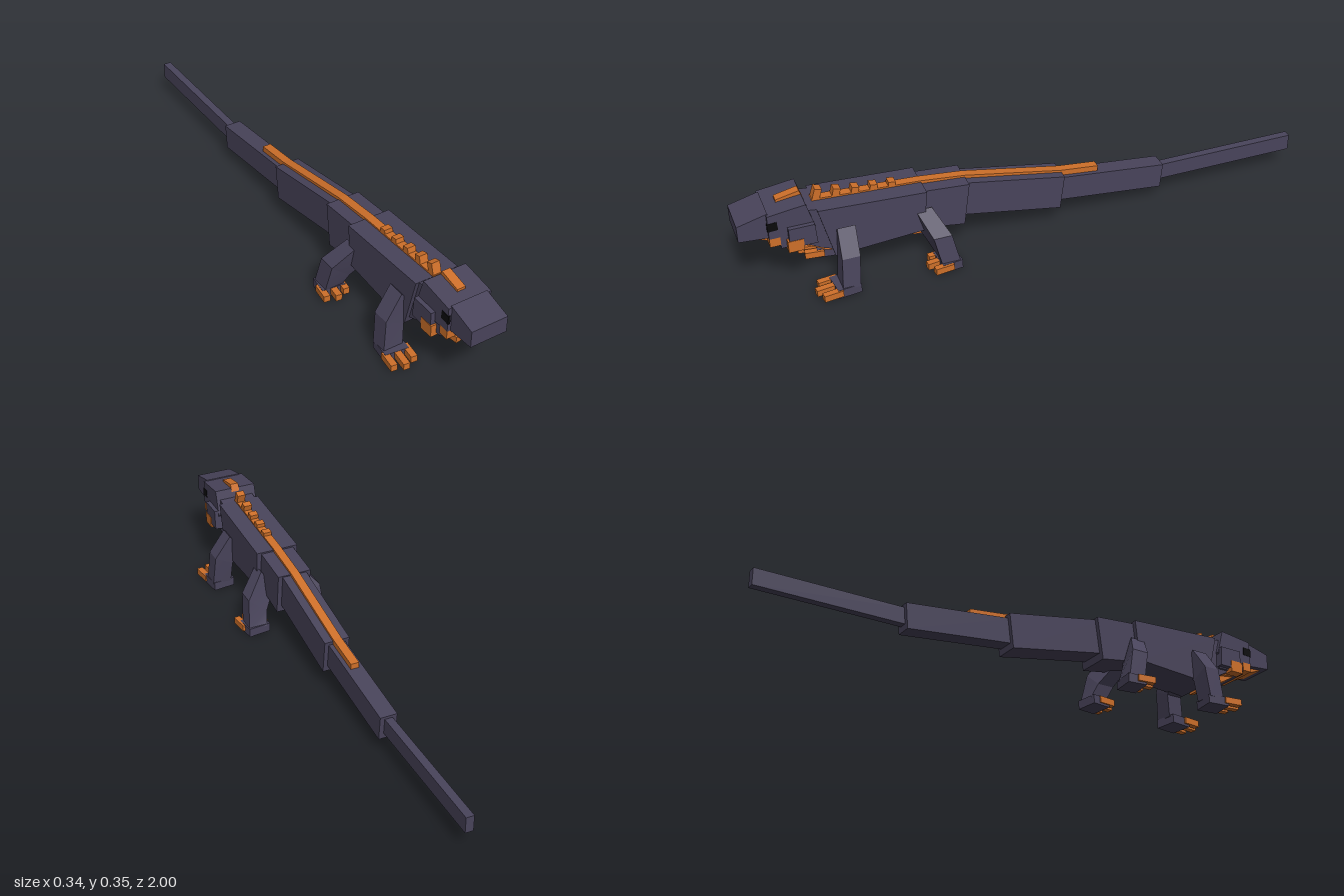
import * as THREE from 'three';

const mat = (name, color) => {
  const m = new THREE.MeshStandardMaterial({ color });
  m.name = name;
  return m;
};

export function createModel() {
  const model = new THREE.Group();
  model.name = 'lizard';
  const skin = mat('dark skin', 0x49445b);
  const orange = mat('orange markings', 0xcf702a);
  const black = mat('eye black', 0x0b0b0c);

  const add = (name, geometry, material, parent = model) => {
    const mesh = new THREE.Mesh(geometry, material);
    mesh.name = name;
    parent.add(mesh);
    return mesh;
  };

  // Side profile of [z, y] points, given a width across x
  const slab = (name, material, half, points, x = 0) => {
    const shape = new THREE.Shape(points.map(([z, y]) => new THREE.Vector2(z, y)));
    const g = new THREE.ExtrudeGeometry(shape, { depth: half * 2, bevelEnabled: false });
    g.translate(0, 0, -half).rotateY(-Math.PI / 2).translate(x, 0, 0);
    return add(name, g, material);
  };

  const box = (name, material, [x0, x1], [y0, y1], [z0, z1], parent) => {
    const mesh = add(name, new THREE.BoxGeometry(x1 - x0, y1 - y0, z1 - z0), material, parent);
    mesh.position.set((x0 + x1) / 2, (y0 + y1) / 2, (z0 + z1) / 2);
    return mesh;
  };

  // Body and tail
  slab('neck', skin, 0.064, [[0.81, 0.31], [0.70, 0.295], [0.69, 0.13], [0.74, 0.15], [0.81, 0.19]]);
  slab('chest', skin, 0.077, [[0.745, 0.302], [0.385, 0.282], [0.40, 0.135], [0.70, 0.115]]);
  slab('hips', skin, 0.061, [[0.42, 0.279], [0.235, 0.264], [0.255, 0.11], [0.42, 0.137]]);
  slab('tailBase', skin, 0.045, [[0.27, 0.266], [-0.11, 0.196], [-0.095, 0.073], [0.27, 0.14]]);
  slab('tailMiddle', skin, 0.03, [[-0.09, 0.186], [-0.488, 0.142], [-0.48, 0.053], [-0.08, 0.097]]);
  slab('tailTip', skin, 0.014, [[-0.46, 0.132], [-1, 0.132], [-1, 0.074], [-0.46, 0.074]]);

  // Head
  slab('skull', skin, 0.077, [[0.905, 0.322], [0.78, 0.338], [0.755, 0.25], [0.77, 0.225], [0.905, 0.235]]);
  slab('snout', skin, 0.065, [[1, 0.30], [0.90, 0.326], [0.88, 0.232], [1, 0.242]]);
  slab('lowerJaw', orange, 0.045, [[0.985, 0.242], [0.78, 0.24], [0.78, 0.18], [0.85, 0.19]]);
  slab('throat', orange, 0.03, [[0.87, 0.205], [0.71, 0.19], [0.70, 0.107], [0.72, 0.112], [0.85, 0.186]]);
  box('jawBand', orange, [-0.077, 0.077], [0.205, 0.236], [0.87, 0.905]);
  box('jawHinge', skin, [-0.074, 0.074], [0.19, 0.24], [0.76, 0.87]);

  for (const s of [1, -1]) {
    const side = s > 0 ? 'left' : 'right';
    slab(`${side}Cheek`, skin, 0.016, [[0.845, 0.267], [0.76, 0.267], [0.755, 0.195], [0.845, 0.195]], s * 0.076);
    slab(`${side}CheekMarking`, orange, 0.0175, [[0.851, 0.222], [0.80, 0.222], [0.80, 0.18], [0.851, 0.18]], s * 0.076);
    slab(`${side}Eye`, black, 0.004, [[0.908, 0.295], [0.876, 0.297], [0.874, 0.267], [0.908, 0.265]], s * 0.0745);
  }

  // Crest and stripe along the spine
  slab('headCrest', orange, 0.015, [[0.862, 0.336], [0.785, 0.352], [0.775, 0.325], [0.862, 0.32]]);
  slab('spineStripe', orange, 0.015, [
    [0.75, 0.308], [0.39, 0.288], [0.235, 0.271], [-0.11, 0.204], [-0.245, 0.189],
    [-0.245, 0.165], [-0.11, 0.18], [0.235, 0.25], [0.39, 0.27], [0.74, 0.285],
  ]);
  [0.342, 0.328, 0.318, 0.312, 0.307].forEach((top, i) => {
    const spike = box('crestSpike', orange, [-0.015, 0.015], [top - 0.045, top], [-0.012, 0.012]);
    spike.position.z = 0.73 - i * 0.0615;
    spike.rotation.x = -0.3 + i * 0.05;
  });

  // Leg segment between two joints; a joint has outer and inner [x, y] and a z range
  const segment = (upper, lower, s) => {
    const g = new THREE.BoxGeometry(1, 1, 1);
    const p = g.attributes.position;
    for (let i = 0; i < p.count; i++) {
      const joint = p.getY(i) > 0 ? upper : lower;
      const [x, y] = p.getX(i) * s > 0 ? joint.outer : joint.inner;
      p.setXYZ(i, s * x, y, joint.z[p.getZ(i) > 0 ? 1 : 0]);
    }
    g.computeVertexNormals();
    return g;
  };

  const legs = {
    front: {
      joints: [
        { outer: [0.085, 0.225], inner: [0.03, 0.165], z: [0.63, 0.69] },
        { outer: [0.142, 0.142], inner: [0.076, 0.11], z: [0.635, 0.695] },
        { outer: [0.152, 0.03], inner: [0.082, 0.03], z: [0.645, 0.703] },
      ],
      foot: [0.645, 0.725], toes: 0.77,
    },
    hind: {
      joints: [
        { outer: [0.07, 0.215], inner: [0.02, 0.15], z: [0.37, 0.425] },
        { outer: [0.138, 0.135], inner: [0.07, 0.08], z: [0.325, 0.388] },
        { outer: [0.148, 0.03], inner: [0.082, 0.03], z: [0.302, 0.365] },
      ],
      foot: [0.3, 0.37], toes: 0.395,
    },
  };

  for (const [name, { joints, foot, toes }] of Object.entries(legs)) {
    for (const s of [1, -1]) {
      const leg = new THREE.Group();
      leg.name = `${s > 0 ? 'left' : 'right'}${name === 'front' ? 'Front' : 'Hind'}Leg`;
      model.add(leg);
      add('upperLeg', segment(joints[0], joints[1], s), skin, leg);
      add('lowerLeg', segment(joints[1], joints[2], s), skin, leg);
      const sole = box('foot', skin, [-0.041, 0.041], [0.004, 0.036], foot, leg);
      sole.position.x = s * 0.113;
      sole.rotation.y = s * 0.12;
      // Splayed toes, the middle one longest
      for (let i = -1; i <= 1; i++) {
        const toe = box('toe', orange, [-0.011, 0.011], [0.012, 0.035], [toes - 0.065, toes + (i ? 0 : 0.015)], leg);
        toe.position.x = s * (0.118 + i * 0.037);
        toe.rotation.y = s * 0.12;
      }
    }
  }

  return model;
}
